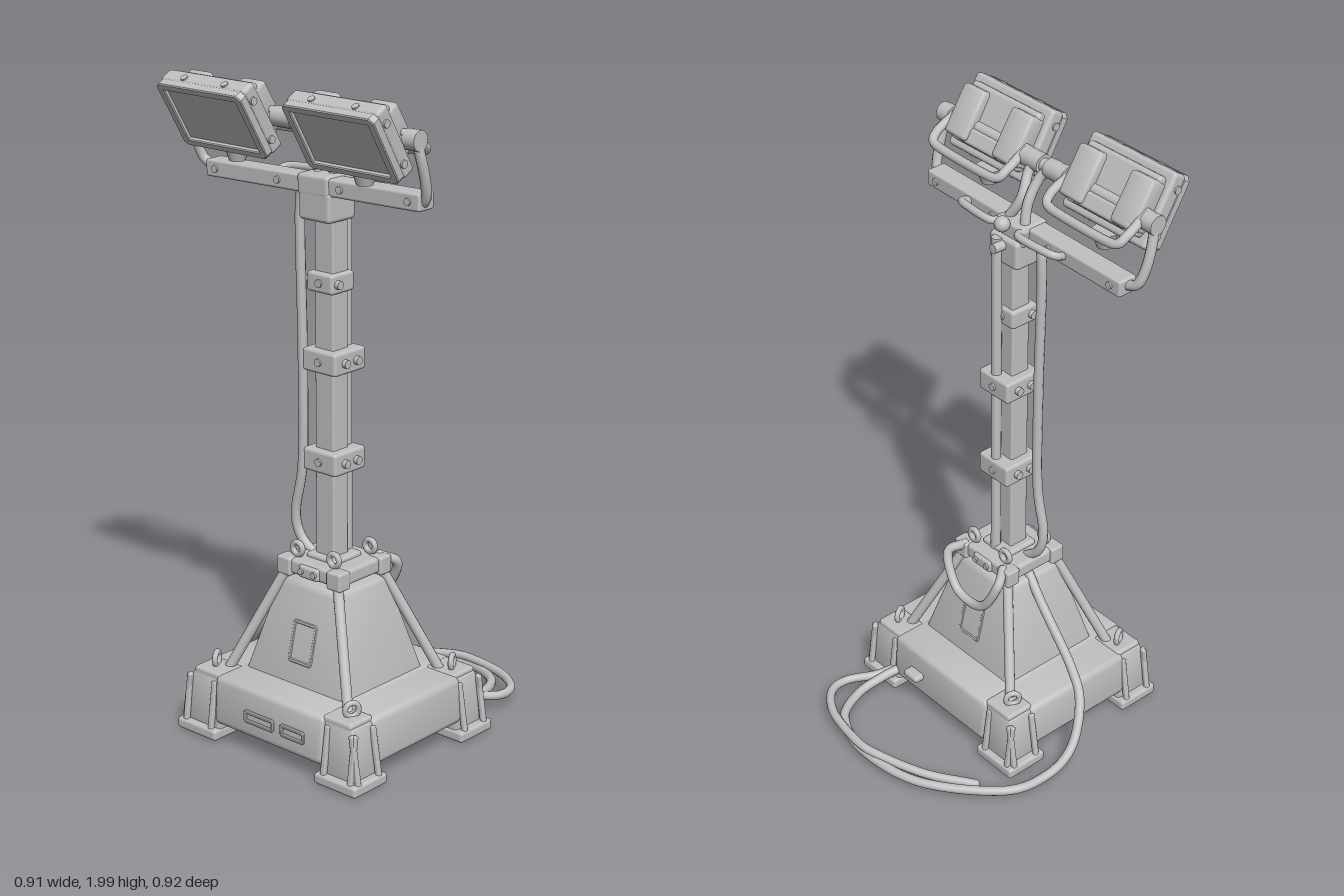
import * as THREE from 'three';
import { mergeVertices, toCreasedNormals } from 'three/addons/utils/BufferGeometryUtils.js';
import { RoundedBoxGeometry } from 'three/addons/geometries/RoundedBoxGeometry.js';

const CX = 0.04, CZ = 0.145; // mast and base axis

export function createModel() {
  const model = new THREE.Group();
  model.name = 'floodlightTower';
  const grey = new THREE.MeshStandardMaterial({ color: 0xc0c0c0 });
  grey.name = 'light grey';

  const add = (name, geo, x = 0, y = 0, z = 0, parent = model) => {
    const m = new THREE.Mesh(geo, grey);
    m.name = name;
    m.position.set(x, y, z);
    parent.add(m);
    return m;
  };
  const group = (name, x, y, z) => {
    const g = new THREE.Group();
    g.name = name;
    g.position.set(x, y, z);
    model.add(g);
    return g;
  };
  const box = (w, h, d, r = 0.01) => new RoundedBoxGeometry(w, h, d, 2, Math.min(r, w / 2.1, h / 2.1, d / 2.1));
  // rounded box narrowing towards its top
  const taper = (w, h, d, sx, sz, r = 0.01) => {
    let g = box(w, h, d, r);
    const p = g.attributes.position;
    for (let i = 0; i < p.count; i++) {
      const t = p.getY(i) / h + 0.5;
      p.setX(i, p.getX(i) * (1 + (sx - 1) * t));
      p.setZ(i, p.getZ(i) * (1 + (sz - 1) * t));
    }
    g.deleteAttribute('normal');
    g.deleteAttribute('uv');
    g = mergeVertices(g, 1e-5);
    return toCreasedNormals(g, 0.6);
  };
  const tube = (name, pts, r, parent = model, tension = 0.5) => {
    const curve = new THREE.CatmullRomCurve3(pts.map(p => new THREE.Vector3(...p)), false, 'catmullrom', tension);
    add(name, new THREE.TubeGeometry(curve, pts.length * 10, r, 10), 0, 0, 0, parent);
    for (const p of [pts[0], pts[pts.length - 1]])
      add(name + 'End', new THREE.SphereGeometry(r, 10, 8), ...p, parent);
  };
  const rod = (name, a, b, r) => {
    const va = new THREE.Vector3(...a), vb = new THREE.Vector3(...b);
    const m = add(name, new THREE.CylinderGeometry(r, r, va.distanceTo(vb), 12));
    m.position.copy(va).add(vb).multiplyScalar(0.5);
    m.quaternion.setFromUnitVectors(new THREE.Vector3(0, 1, 0), vb.sub(va).normalize());
  };
  // bolt or pin lying along an axis
  const pin = (name, r, len, x, y, z, axis, parent = model) => {
    const m = add(name, new THREE.CylinderGeometry(r, r, len, 14), x, y, z, parent);
    if (axis === 'x') m.rotation.z = Math.PI / 2;
    if (axis === 'z') m.rotation.x = Math.PI / 2;
  };
  // rectangular frame with clipped corners
  const frame = (w, h, hw, hh, d, c) => {
    const s = new THREE.Shape();
    const x = w / 2, y = h / 2;
    s.moveTo(-x + c, -y); s.lineTo(x - c, -y); s.lineTo(x, -y + c); s.lineTo(x, y - c);
    s.lineTo(x - c, y); s.lineTo(-x + c, y); s.lineTo(-x, y - c); s.lineTo(-x, -y + c); s.closePath();
    const hole = new THREE.Path();
    hole.moveTo(-hw / 2, -hh / 2); hole.lineTo(-hw / 2, hh / 2);
    hole.lineTo(hw / 2, hh / 2); hole.lineTo(hw / 2, -hh / 2); hole.closePath();
    s.holes.push(hole);
    return new THREE.ExtrudeGeometry(s, { depth: d, bevelEnabled: true, bevelSize: 0.003, bevelThickness: 0.003, bevelSegments: 1 });
  };

  // cross-shaped base slab, raised off the ground, and sloping housing
  add('baseSlab', taper(0.44, 0.155, 0.605, 1, 0.97, 0.02), CX, 0.13, CZ);
  add('baseSides', taper(0.685, 0.148, 0.4, 0.97, 1, 0.02), CX, 0.13, CZ);
  add('baseFloor', box(0.62, 0.04, 0.54, 0.01), CX, 0.074, CZ);
  add('housing', taper(0.41, 0.32, 0.37, 0.58, 0.58, 0.015), CX, 0.34, CZ);
  for (const s of [-1, 1]) {
    const face = group(s > 0 ? 'frontFace' : 'backFace', CX + 0.008, 0.33, CZ + s * 0.146);
    face.rotation.order = 'YXZ';
    face.rotation.y = s > 0 ? 0 : Math.PI;
    face.rotation.x = -0.24;
    add('hatchFrame', frame(0.09, 0.125, 0.078, 0.113, 0.004, 0.006), 0, 0, -0.002, face);
  }
  add('frontSlot', frame(0.115, 0.034, 0.105, 0.024, 0.005, 0.004), 0.01, 0.12, 0.442);
  add('frontSlot', frame(0.09, 0.034, 0.08, 0.024, 0.005, 0.004), 0.145, 0.12, 0.442);
  add('backSocket', box(0.065, 0.026, 0.05, 0.012), 0.145, 0.125, -0.16);

  // feet, braces and lifting eyes at each corner
  for (const sx of [-1, 1]) for (const sz of [-1, 1]) {
    const foot = group('foot', CX + sx * 0.282, 0, CZ + sz * 0.242);
    add('footPad', box(0.162, 0.035, 0.146, 0.01), 0, 0.0175, 0, foot);
    add('footBody', taper(0.135, 0.17, 0.12, 0.8, 0.8, 0.012), -sx * 0.012, 0.11, -sz * 0.008, foot);
    add('footCap', box(0.112, 0.036, 0.098, 0.01), -sx * 0.02, 0.19, -sz * 0.01, foot);
    for (const k of [-1, 1]) {
      const a = add('footRib', box(0.016, 0.165, 0.018, 0.005), sx * 0.058, 0.1, k * 0.045, foot);
      a.rotation.z = sx * 0.16;
      const b = add('footRib', box(0.018, 0.165, 0.016, 0.005), k * 0.052, 0.1, sz * 0.05, foot);
      b.rotation.x = -sz * 0.14;
    }
    const eye = add('footEye', new THREE.TorusGeometry(0.021, 0.009, 8, 18), -sx * 0.008, 0.226, -sz * 0.015, foot);
    eye.rotation.y = sx * sz * 1.1;
    rod('brace', [CX + sx * 0.245, 0.19, CZ + sz * 0.21], [CX + sx * 0.1, 0.53, CZ + sz * 0.095], 0.016);
    add('collarEye', new THREE.TorusGeometry(0.019, 0.009, 8, 18), CX + sx * 0.073, 0.592, CZ + sz * 0.08);
    add('collarLug', box(0.055, 0.058, 0.05, 0.008), CX + sx * 0.1, 0.54, CZ + sz * 0.092);
  }

  // collar at the foot of the mast
  add('collarPlate', box(0.235, 0.048, 0.215, 0.012), CX, 0.542, CZ);
  add('collarBlock', box(0.12, 0.05, 0.12, 0.01), CX, 0.555, CZ);
  add('collarNeck', box(0.08, 0.04, 0.235, 0.01), CX, 0.54, CZ);
  for (const s of [-1, 1]) for (const x of [-0.025, 0.025]) pin('collarBolt', 0.01, 0.014, CX + x, 0.542, CZ + s * 0.116, 'z');

  // mast with clamps and rear conduit
  add('mast', box(0.072, 1.14, 0.066, 0.006), CX, 1.07, 0.153);
  rod('conduit', [CX + 0.01, 0.55, 0.098], [CX + 0.01, 1.68, 0.098], 0.016);
  for (const [y, w, d, h] of [[0.875, 0.13, 0.135, 0.07], [1.18, 0.13, 0.135, 0.07], [1.415, 0.1, 0.098, 0.06]]) {
    const z = d > 0.1 ? 0.143 : 0.157;
    add('mastClamp', box(w, h, d, 0.01), CX, y, z);
    pin('clampPin', 0.013, w + 0.026, CX, y, z + 0.025, 'x');
    if (d > 0.1) pin('clampPin', 0.013, w + 0.026, CX, y, z - 0.025, 'x');
    pin('clampBolt', 0.012, d + 0.012, CX, y, z, 'z');
  }
  add('mastHead', box(0.12, 0.09, 0.115, 0.012), 0.03, 1.64, 0.16);
  pin('headBolt', 0.015, 0.05, 0.03, 1.66, 0.09, 'z');

  // crossbar carrying the lamps
  const bar = group('crossbar', 0.005, 1.698, 0.178);
  bar.rotation.z = 0.02;
  add('bar', box(0.82, 0.052, 0.066, 0.008), 0, 0, 0, bar);
  add('barCentre', box(0.12, 0.065, 0.1, 0.012), 0.02, 0, -0.01, bar);
  for (const x of [-0.37, -0.12, 0.12, 0.37]) pin('barBolt', 0.011, 0.078, x, 0, 0, 'z', bar);
  for (const s of [-1, 1])
    tube('barHandle', [[0.02 + s * 0.05, 0.015, -0.03], [0.02 + s * 0.06, 0.02, -0.075], [0.02 + s * 0.16, 0.02, -0.075],
      [0.02 + s * 0.2, 0.015, -0.06], [0.02 + s * 0.2, 0, -0.02]], 0.012, bar);

  // two floodlights, tilted downwards
  for (const s of [-1, 1]) {
    const xc = s < 0 ? -0.255 : 0.235;
    const lamp = group(s < 0 ? 'rightLamp' : 'leftLamp', xc, 1.88, 0.303);
    lamp.rotation.x = 0.54;
    add('lampShell', box(0.335, 0.228, 0.05, 0.012), 0, 0, -0.012, lamp);
    add('lampBezel', frame(0.328, 0.222, 0.288, 0.186, 0.022, 0.012), 0, 0, 0.01, lamp);
    add('lens', box(0.296, 0.194, 0.008, 0.002), 0, 0, 0.019, lamp);
    add('lampBack', box(0.29, 0.18, 0.035, 0.012), 0, 0, -0.045, lamp);
    for (const k of [-1, 1]) {
      add('backRib', taper(0.09, 0.155, 0.075, 1, 0.85, 0.012), k * 0.103, -0.002, -0.058, lamp);
      pin('topBolt', 0.011, 0.236, k * 0.08, 0, -0.005, 'y', lamp);
      pin('sideBolt', 0.012, 0.346, 0, k * 0.07, -0.005, 'x', lamp);
    }
    add('backFoot', box(0.2, 0.05, 0.05, 0.01), 0, -0.06, -0.055, lamp);
    // pivots, yoke arm, rear handle and knob
    const outer = xc + s * 0.19;
    pin('pivot', 0.03, 0.045, outer - s * 0.01, 1.885, 0.232, 'x');
    pin('pivotShaft', 0.018, 0.4, xc, 1.885, 0.24, 'x');
    pin('innerPivot', 0.03, 0.075, xc - s * 0.195, 1.885, 0.232, 'x');
    tube('yokeArm', [[xc + s * 0.14, 1.69, 0.18], [outer - s * 0.01, 1.71, 0.185], [outer + s * 0.004, 1.76, 0.2],
      [outer + s * 0.004, 1.83, 0.22], [outer - s * 0.005, 1.885, 0.232]], 0.015);
    tube('rearHandle', [[xc - 0.15, 1.9, 0.24], [xc - 0.155, 1.86, 0.16], [xc - 0.125, 1.835, 0.132],
      [xc + 0.125, 1.835, 0.137], [xc + 0.155, 1.86, 0.165], [xc + 0.15, 1.9, 0.24]], 0.014, model, 0.35);
    add('lampKnob', new THREE.CylinderGeometry(0.04, 0.024, 0.05, 16), xc, 1.76, 0.23);
    tube('lampLead', [[xc - s * 0.21, 1.885, 0.23], [0.015 + s * 0.025, 1.86, 0.21], [0.012 + s * 0.015, 1.79, 0.17],
      [0.025 + s * 0.035, 1.72, 0.15]], 0.015);
  }
  pin('lampLink', 0.02, 0.14, -0.005, 1.885, 0.232, 'x');
  add('leadCap', new THREE.SphereGeometry(0.024, 16, 10), 0.03, 1.73, 0.1);

  // cables
  tube('mastCable', [[0.0, 1.72, 0.165], [-0.05, 1.69, 0.165], [-0.075, 1.6, 0.16], [-0.068, 1.2, 0.16], [-0.07, 0.85, 0.16],
    [-0.1, 0.68, 0.16], [-0.085, 0.6, 0.155], [-0.03, 0.55, 0.15]], 0.015);
  tube('loopCable', [[-0.05, 0.56, 0.04], [-0.075, 0.53, -0.005], [-0.03, 0.44, -0.02], [0.04, 0.415, -0.022],
    [0.11, 0.44, -0.02], [0.16, 0.53, -0.005], [0.13, 0.56, 0.04]], 0.015);
  tube('powerCable', [[-0.04, 0.53, 0.14], [-0.13, 0.43, 0.13], [-0.27, 0.26, 0.13], [-0.34, 0.17, 0.105], [-0.395, 0.07, 0.02],
    [-0.405, 0.03, -0.1], [-0.36, 0.025, -0.24], [-0.16, 0.025, -0.405], [0.06, 0.03, -0.447], [0.21, 0.035, -0.4],
    [0.268, 0.04, -0.3], [0.262, 0.06, -0.2], [0.24, 0.08, -0.13]], 0.015);
  tube('spareCable', [[-0.28, 0.02, -0.275], [-0.15, 0.03, -0.37], [0.0, 0.045, -0.435], [0.09, 0.05, -0.448], [0.24, 0.05, -0.42],
    [0.325, 0.05, -0.36], [0.335, 0.05, -0.29], [0.285, 0.06, -0.21], [0.26, 0.07, -0.13]], 0.014);
  return model;
}
